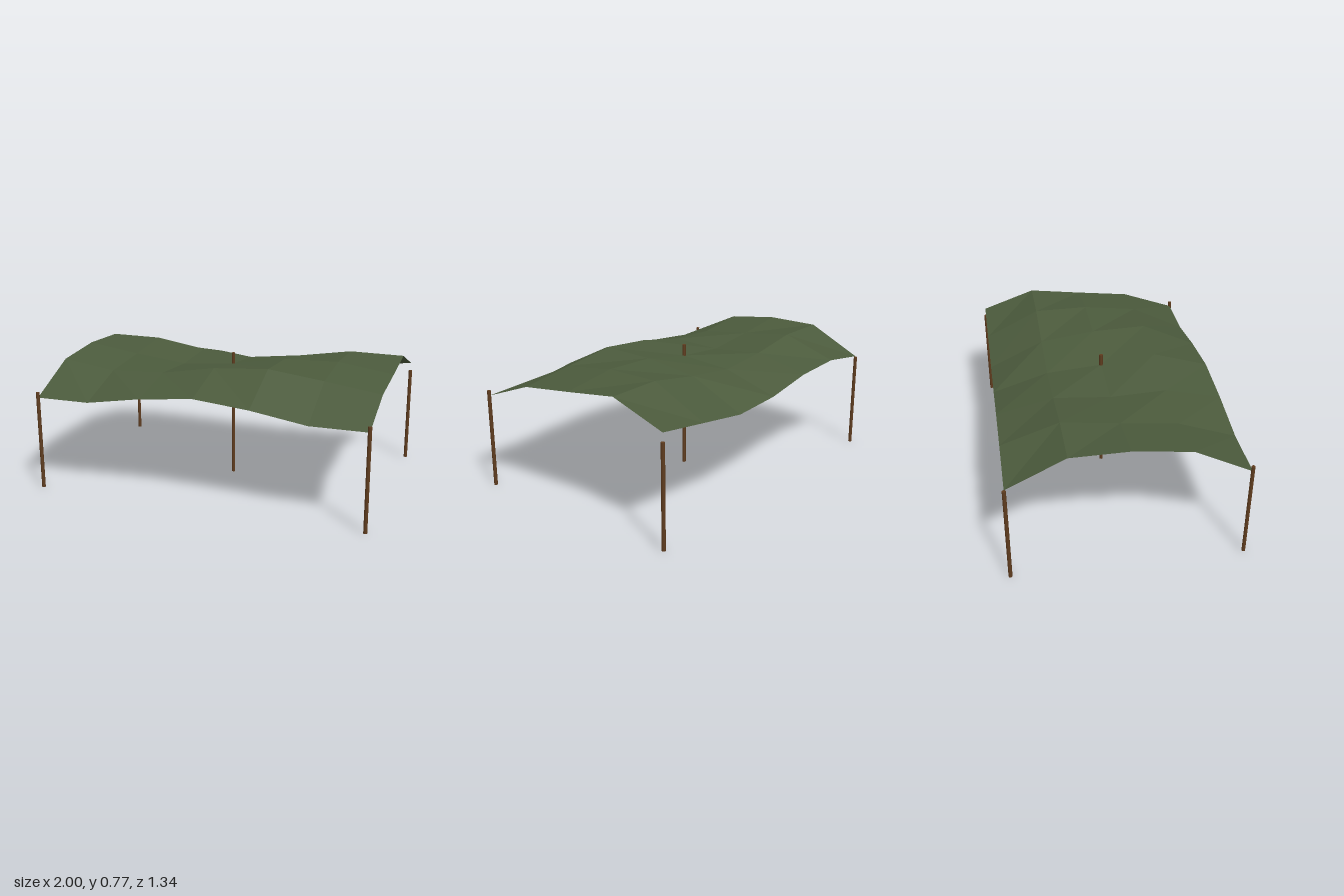
import * as THREE from 'three';

const HALF_X = 0.99, HALF_Z = 0.66, STEP = 0.33;
// Base height of the cloth at z = 0, 0.33 and 0.66
const RIDGE = [0.727, 0.725, 0.601];

// Sagging cloth: flat-topped ridge profile plus a diagonal ripple
function clothHeight(x, z) {
  const row = Math.round(Math.abs(z) / STEP);
  return RIDGE[row] + 0.047 * Math.cos(3.81 * x + 3.1 * (z - HALF_Z));
}

export function createModel() {
  const group = new THREE.Group();
  const canvasGreen = new THREE.MeshStandardMaterial({ color: 0x4b5a3c, side: THREE.DoubleSide, flatShading: true });
  canvasGreen.name = 'canvasGreen';
  const woodBrown = new THREE.MeshStandardMaterial({ color: 0x5f3c1e });
  woodBrown.name = 'woodBrown';

  // Canopy cloth
  const cloth = new THREE.PlaneGeometry(HALF_Z * 2, HALF_X * 2, 4, 6);
  cloth.rotateX(-Math.PI / 2).rotateY(Math.PI / 2);
  const p = cloth.attributes.position;
  for (let i = 0; i < p.count; i++) p.setY(i, clothHeight(p.getX(i), p.getZ(i)));
  cloth.computeVertexNormals();
  const canopy = new THREE.Mesh(cloth, canvasGreen);
  canopy.name = 'canopy';
  group.add(canopy);

  // Upright poles
  const addPole = (name, x, z, height) => {
    const pole = new THREE.Mesh(new THREE.CylinderGeometry(0.011, 0.011, height, 8), woodBrown);
    pole.position.set(x, height / 2, z);
    pole.name = name;
    group.add(pole);
  };
  for (const [sideName, sx] of [['Left', 1], ['Right', -1]]) {
    for (const [endName, sz] of [['front', 1], ['back', -1]]) {
      addPole(`${endName}${sideName}Pole`, sx * HALF_X, sz * HALF_Z, 0.595);
    }
  }
  addPole('centerPole', 0, 0, 0.775);

  return group;
}
